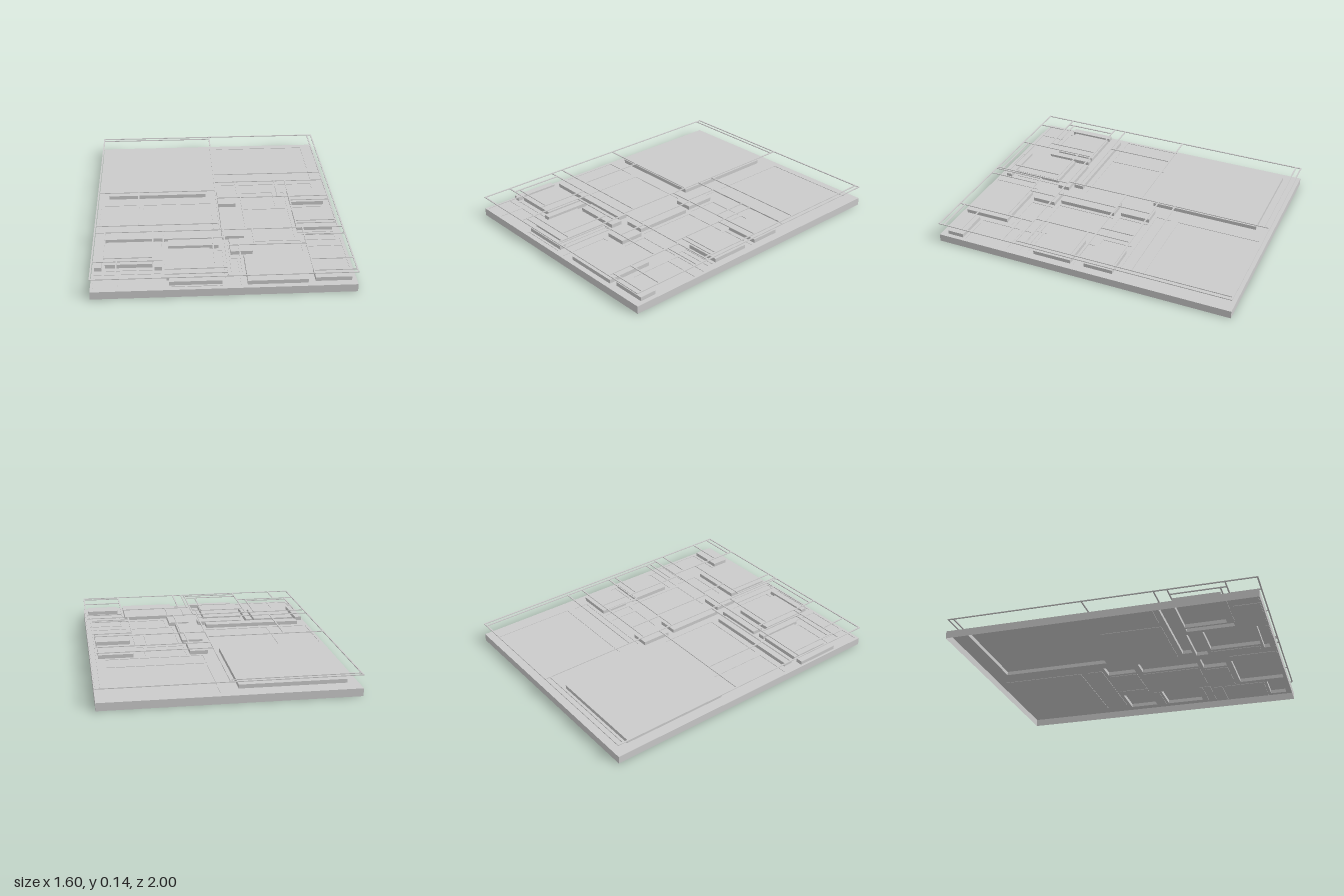
import * as THREE from 'three';
import { mergeGeometries } from 'three/addons/utils/BufferGeometryUtils.js';

const TOP = 0.05;      // tray top
const RAISED = 0.075;  // top of raised blocks
const SUNK = 0.047;    // floor of shallow panels
const BAR_Y = 0.135;   // height of the floating grid
const W = 0.795, D = 0.995;

// Inset panels as [x0, x1, z0, z1]
const raised = [
  [-0.73, -0.06, -0.89, -0.165],
  [-0.73, -0.06, 0.37, 0.435],
  [0.02, 0.14, -0.21, -0.01],
  [0.515, 0.745, -0.21, -0.015],
  [0.02, 0.16, 0.035, 0.43],
  [0.515, 0.75, 0.075, 0.335],
  [0.06, 0.2, 0.46, 0.62],
  [0.14, 0.505, 0.66, 0.965],
  [0.55, 0.77, 0.84, 0.95],
  [-0.33, -0.01, 0.455, 0.535],
  [-0.345, -0.07, 0.565, 0.895],
  [-0.33, -0.01, 0.91, 0.95],
  [-0.72, -0.43, 0.47, 0.74],
  [-0.785, -0.74, 0.47, 0.77],
  [-0.415, -0.37, 0.47, 0.78],
];
const sunk = [
  [0.06, 0.71, -0.95, -0.39],
  [0.06, 0.7, -0.335, -0.235],
  [-0.78, -0.54, -0.07, 0.33],
  [-0.49, -0.03, -0.07, 0.33],
  [0.165, 0.41, -0.21, -0.01],
  [0.435, 0.49, -0.21, -0.01],
  [0.185, 0.49, 0.03, 0.43],
  [0.515, 0.75, 0.015, 0.055],
  [0.515, 0.75, 0.36, 0.378],
  [0.515, 0.75, 0.395, 0.435],
  [0.225, 0.52, 0.46, 0.62],
  [0.545, 0.78, 0.46, 0.52],
  [0.545, 0.78, 0.54, 0.82],
  [0.06, 0.1, 0.66, 0.98],
  [-0.045, 0.01, 0.56, 0.885],
  [-0.33, -0.01, 0.965, 0.985],
  [-0.72, -0.43, 0.77, 0.79],
  [-0.785, -0.66, 0.815, 0.98],
  [-0.635, -0.38, 0.815, 0.98],
];

// Grid bars: along x as [z, x0, x1], along z as [x, z0, z1]
const barsAlongX = [
  [-D, -W, W], [D, -W, W], [0.445, -W, W],
  [-0.96, -W, 0.005], [-0.1, -W, 0.005], [0.36, -W, 0.005],
  [-0.345, 0.005, 0.765], [-0.225, 0.005, 0.765], [0.01, 0.005, 0.765],
  [0.065, 0.5, 0.765], [0.35, 0.5, 0.765], [0.385, 0.5, 0.765],
  [0.545, -0.36, 0.025], [0.9, -0.36, 0.025], [0.955, -0.36, 0.025],
  [0.8, -W, -0.36], [0.76, -0.73, -0.425], [0.64, 0.045, 0.535],
  [0.53, 0.535, W], [0.83, 0.535, W], [0.96, 0.535, W],
];
const barsAlongZ = [
  [-W, -D, D], [W, -D, D], [0.005, -D, 0.445], [0.765, -D, 0.445],
  [-0.52, -0.1, 0.36], [0.15, -0.225, 0.01], [0.425, -0.225, 0.01],
  [0.5, -0.225, 0.445], [0.17, 0.01, 0.445],
  [-0.73, 0.445, 0.8], [-0.425, 0.445, 0.8], [-0.36, 0.445, D],
  [0.025, 0.445, D], [0.045, 0.64, D], [-0.05, 0.545, 0.9],
  [0.21, 0.445, 0.64], [0.535, 0.445, D], [0.11, 0.64, D],
  [-0.645, 0.8, D],
];

// Flat horizontal rectangle
function sheet([x0, x1, z0, z1], y) {
  return new THREE.PlaneGeometry(x1 - x0, z1 - z0).rotateX(-Math.PI / 2)
    .translate((x0 + x1) / 2, y, (z0 + z1) / 2);
}

// Four upright walls around a rectangle
function walls([x0, x1, z0, z1], yLow, yHigh) {
  const h = yHigh - yLow, y = (yLow + yHigh) / 2;
  const cx = (x0 + x1) / 2, cz = (z0 + z1) / 2;
  const alongX = (z, turn) => new THREE.PlaneGeometry(x1 - x0, h).rotateY(turn).translate(cx, y, z);
  const alongZ = (x, turn) => new THREE.PlaneGeometry(z1 - z0, h).rotateY(turn).translate(x, y, cz);
  return mergeGeometries([alongX(z1, 0), alongX(z0, Math.PI), alongZ(x1, Math.PI / 2), alongZ(x0, -Math.PI / 2)]);
}

// Rectangle outline in shape space (shape y = -z)
function outline(path, [x0, x1, z0, z1]) {
  path.moveTo(x0, -z0).lineTo(x1, -z0).lineTo(x1, -z1).lineTo(x0, -z1).closePath();
  return path;
}

export function createModel() {
  const model = new THREE.Group();
  model.name = 'reliefPanel';
  const material = new THREE.MeshStandardMaterial({ color: 0xcccccc, side: THREE.DoubleSide });
  const add = (name, geometry) => {
    const mesh = new THREE.Mesh(geometry, material);
    mesh.name = name;
    model.add(mesh);
  };

  // Hollow tray, open underneath, its top cut out for the panels
  const rim = [-0.8, 0.8, -1, 1];
  const top = outline(new THREE.Shape(), rim);
  top.holes = [...raised, ...sunk].map((r) => outline(new THREE.Path(), r));
  add('trayTop', new THREE.ShapeGeometry(top).rotateX(-Math.PI / 2).translate(0, TOP, 0));
  add('traySides', walls(rim, 0, TOP));

  // Raised blocks and shallow panels
  for (const r of raised) add('raisedBlock', mergeGeometries([sheet(r, RAISED), walls(r, TOP, RAISED)]));
  for (const r of sunk) add('shallowPanel', mergeGeometries([sheet(r, SUNK), walls(r, SUNK, TOP)]));

  // Floating grid of thin bars
  const t = 0.009, h = 0.005;
  for (const [z, a, b] of barsAlongX) {
    add('gridBar', new THREE.BoxGeometry(b - a + t, h, t).translate((a + b) / 2, BAR_Y, z));
  }
  for (const [x, a, b] of barsAlongZ) {
    add('gridBar', new THREE.BoxGeometry(t, h, b - a + t).translate(x, BAR_Y, (a + b) / 2));
  }
  return model;
}
